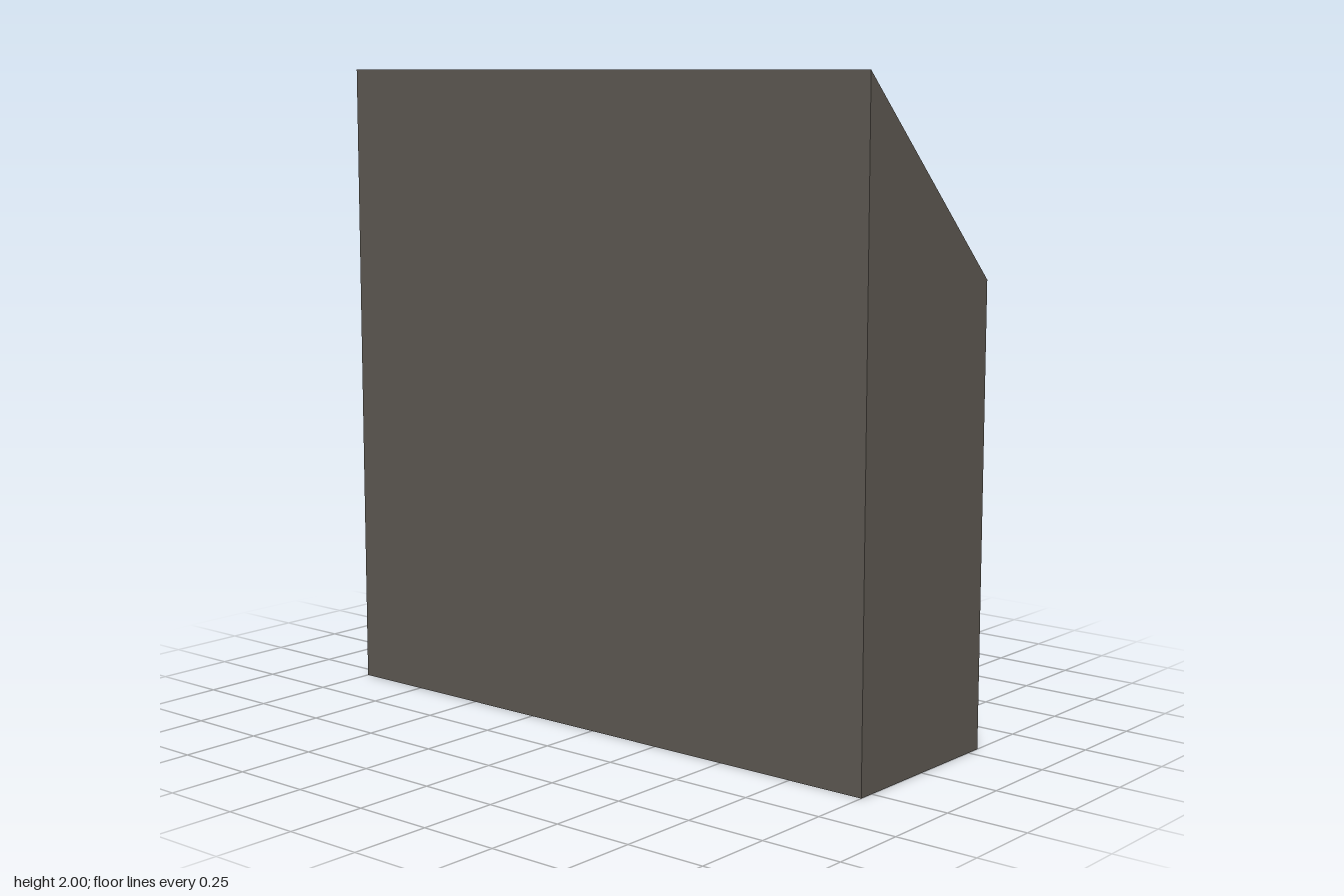
import * as THREE from 'three';

const material = (name, color) => {
  const m = new THREE.MeshStandardMaterial({ color });
  m.name = name;
  return m;
};

export function createModel() {
  const model = new THREE.Group();
  const body = material('warm grey body', 0x5e5952);
  const light = material('light fittings', 0xdcdcdc);
  const olive = material('olive recess', 0x50524a);
  const dark = material('dark inlay', 0x2b2926);
  const slope = (x) => 1.7 - x; // height of the sloping desk top

  // An x-y outline drawn out between two z positions
  function prism(name, mat, points, z0, z1) {
    const shape = new THREE.Shape(points.map(([x, y]) => new THREE.Vector2(x, y)));
    const geo = new THREE.ExtrudeGeometry(shape, { depth: z1 - z0, bevelEnabled: false });
    geo.translate(0, 0, z0);
    const mesh = new THREE.Mesh(geo, mat);
    mesh.name = name;
    model.add(mesh);
  }

  // A slab on the slope with upright edges; heights are measured straight up
  function slab(name, mat, x0, x1, z0, z1, h0, h1 = h0, base = -0.002) {
    prism(name, mat, [
      [x0, slope(x0) + base], [x1, slope(x1) + base],
      [x1, slope(x1) + h1], [x0, slope(x0) + h0],
    ], z0, z1);
  }

  // Cabinet in three sections, the middle one cut away for the recess
  const low = [[-0.3, 0], [0.3, 0], [0.3, 1.4]];
  const notch = [[0.1, 1.6], [0.1, 1.465], [-0.1, 1.75], [-0.1, 1.8]];
  prism('cabinetRight', body, [...low, [-0.3, 2]], -1, 0.07);
  prism('cabinetMiddle', body, [...low, ...notch, [-0.3, 2]], 0.07, 0.73);
  prism('cabinetLeft', body, [...low, [-0.3, 2]], 0.73, 1);

  // Recess floor and its three rails
  prism('recessFloor', olive, [[-0.1, 1.75], [0.1, 1.465], [0.1, 1.47], [-0.1, 1.755]], 0.07, 0.73);
  for (let i = 0; i < 3; i++) {
    const rail = new THREE.Mesh(new THREE.BoxGeometry(0.025, 0.025, 0.66), light);
    rail.position.set(-0.085 + i * 0.062, 1.755 - i * 0.089, 0.4);
    rail.name = 'rail';
    model.add(rail);
  }

  // Large panel and the two small plates, one standing on feet
  slab('largePanel', light, -0.04, 0.175, -0.695, -0.33, 0.04);
  slab('smallPlate', light, 0.15, 0.225, 0.15, 0.305, 0.015);
  slab('raisedPlate', light, 0.15, 0.225, 0.63, 0.8, 0.04, 0.04, 0.015);
  for (const z of [0.63, 0.77]) slab('plateFoot', light, 0.15, 0.225, z, z + 0.03, 0.016);

  // Square frame, tapering towards the upper edge
  const t = 0.008;
  slab('frameTop', light, 0.12, 0.12 + t, 0.36, 0.515, 0.005, 0.007);
  slab('frameBottom', light, 0.275 - t, 0.275, 0.36, 0.515, 0.038, 0.04);
  for (const z of [0.36, 0.515 - t]) slab('frameSide', light, 0.12, 0.275, z, z + t, 0.005, 0.04);

  // Socket in the frame with a bow-tie inlay
  slab('socket', light, 0.165, 0.235, 0.39, 0.485, 0.025);
  slab('socketInlay', dark, 0.172, 0.222, 0.4, 0.475, 0.029, 0.029, 0.024);
  for (const z of [0.4, 0.46]) slab('socketGrip', light, 0.187, 0.207, z, z + 0.015, 0.033, 0.033, 0.027);

  // Upright handle: a rounded loop
  const roundRect = (s, w, h, r) => {
    s.moveTo(-w + r, -h);
    s.lineTo(w - r, -h);
    s.quadraticCurveTo(w, -h, w, -h + r);
    s.lineTo(w, h - r);
    s.quadraticCurveTo(w, h, w - r, h);
    s.lineTo(-w + r, h);
    s.quadraticCurveTo(-w, h, -w, h - r);
    s.lineTo(-w, -h + r);
    s.quadraticCurveTo(-w, -h, -w + r, -h);
    return s;
  };
  const loop = roundRect(new THREE.Shape(), 0.173, 0.045, 0.015);
  loop.holes.push(roundRect(new THREE.Path(), 0.155, 0.026, 0.006));
  const handle = new THREE.Mesh(
    new THREE.ExtrudeGeometry(loop, { depth: 0.02, bevelEnabled: false, curveSegments: 4 }), light);
  handle.rotation.y = Math.PI / 2;
  handle.position.set(-0.138, 1.86, 0.39);
  handle.name = 'handle';
  model.add(handle);

  return model;
}
